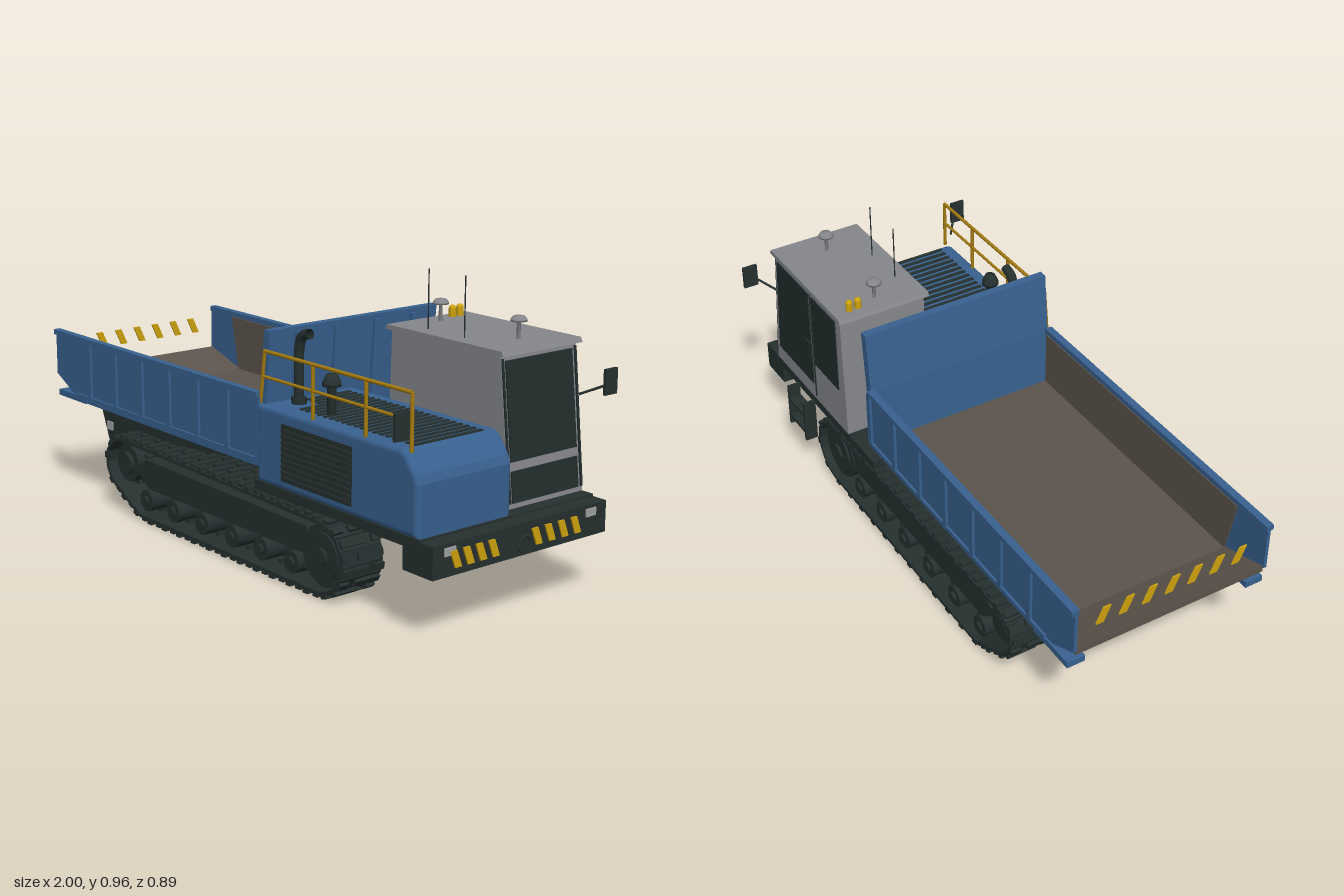
import * as THREE from 'three';
import { mergeGeometries } from 'three/addons/utils/BufferGeometryUtils.js';

const material = (name, color) => {
  const m = new THREE.MeshStandardMaterial({ color });
  m.name = name;
  return m;
};

export function createModel() {
  const blue = material('blue paint', 0x38618f);
  const dark = material('dark steel', 0x25302f);
  const glass = material('tinted glass', 0x222d2c);
  const grey = material('cab grey', 0x86878b);
  const brown = material('bed liner', 0x5c544c);
  const yellow = material('safety yellow', 0xd0a30e);
  const rail = material('handrail yellow', 0xa67c10);
  const lamp = material('lamp grey', 0xa0a2a2);

  const model = new THREE.Group();
  model.name = 'trackedDumper';
  const group = (name) => {
    const g = new THREE.Group();
    g.name = name;
    model.add(g);
    return g;
  };
  const add = (parent, name, geo, mat) => {
    const m = new THREE.Mesh(geo, mat);
    m.name = name;
    parent.add(m);
    return m;
  };
  const boxGeo = (x0, x1, y0, y1, z0, z1) =>
    new THREE.BoxGeometry(x1 - x0, y1 - y0, z1 - z0).translate((x0 + x1) / 2, (y0 + y1) / 2, (z0 + z1) / 2);
  const box = (p, name, mat, ...b) => add(p, name, boxGeo(...b), mat);
  // Side profile in x and y, extruded from z0 to z1, with optional rounded edges
  const prism = (p, name, mat, pts, z0, z1, bevel = 0) => {
    const shape = new THREE.Shape(pts.map(([x, y]) => new THREE.Vector2(x, y)));
    const geo = new THREE.ExtrudeGeometry(shape, {
      depth: z1 - z0 - 2 * bevel, bevelEnabled: bevel > 0, bevelSize: bevel,
      bevelThickness: bevel, bevelOffset: -bevel, bevelSegments: 4,
    });
    return add(p, name, geo.translate(0, 0, z0 + bevel), mat);
  };
  const rod = (p, name, mat, a, b, r) => {
    const from = new THREE.Vector3(...a), to = new THREE.Vector3(...b);
    const m = add(p, name, new THREE.CylinderGeometry(r, r, from.distanceTo(to), 10), mat);
    m.position.copy(from).lerp(to, 0.5);
    m.quaternion.setFromUnitVectors(new THREE.Vector3(0, 1, 0), to.sub(from).normalize());
    return m;
  };
  const wheel = (p, name, x, y, z, r, w, sides = 28) =>
    add(p, name, new THREE.CylinderGeometry(r, r, w, sides).rotateX(Math.PI / 2).translate(x, y, z), dark);

  // Crawler tracks: belt path is the hull of three circles
  const circles = [[0.49, 0.129, 0.112], [-0.585, 0.175, 0.088], [-0.46, 0.07, 0.053]];
  const outline = [];
  for (let i = 0; i <= 180; i++) {
    const a = (i / 180) * Math.PI * 2, c = Math.cos(a), s = Math.sin(a);
    const reach = ([x, y, r]) => x * c + y * s + r;
    const [x, y, r] = circles.reduce((m, k) => (reach(k) > reach(m) ? k : m));
    outline.push(new THREE.Vector2(x + r * c, y + r * s));
  }
  const links = 66;
  const path = new THREE.Shape(outline).getSpacedPoints(links);
  for (const side of [1, -1]) {
    const track = group(side > 0 ? 'leftTrack' : 'rightTrack');
    const zc = 0.271 * side;
    const parts = [];
    for (let i = 0; i < links; i++) {
      const a = path[i], b = path[(i + 1) % links];
      const lugs = i % 2 ? [[-0.08, -0.045], [-0.02, 0.075]] : [[-0.075, 0.02], [0.045, 0.08]];
      const shoe = [boxGeo(-0.021, 0.021, -0.006, 0.006, -0.08, 0.08)];
      for (const [l0, l1] of lugs) shoe.push(boxGeo(-0.011, 0.011, -0.017, -0.005, l0, l1));
      if (i % 2) shoe.push(boxGeo(-0.008, 0.008, 0.005, 0.02, -0.012, 0.012));
      for (const g of shoe) {
        parts.push(g.rotateZ(Math.atan2(b.y - a.y, b.x - a.x)).translate((a.x + b.x) / 2, (a.y + b.y) / 2, zc));
      }
    }
    add(track, 'trackBelt', mergeGeometries(parts), dark);
    // Idler, sprocket and road rollers
    wheel(track, 'frontWheel', 0.49, 0.129, zc, 0.098, 0.11);
    wheel(track, 'frontWheelRim', 0.49, 0.129, zc, 0.075, 0.125);
    wheel(track, 'frontHub', 0.49, 0.129, zc, 0.03, 0.145, 16);
    wheel(track, 'sprocket', -0.585, 0.175, zc, 0.066, 0.1);
    wheel(track, 'sprocketHub', -0.585, 0.175, zc, 0.04, 0.13, 16);
    for (let i = 0; i < 14; i++) {
      const a = (i / 14) * Math.PI * 2;
      add(track, 'sprocketTooth', boxGeo(0.06, 0.08, -0.007, 0.007, -0.02, 0.02)
        .rotateZ(a).translate(-0.585, 0.175, zc), dark);
    }
    for (const x of [-0.46, -0.3, -0.135, 0.03, 0.185, 0.34]) {
      wheel(track, 'roadRoller', x, 0.07, zc, 0.037, 0.12, 20);
      wheel(track, 'rollerCap', x, 0.07, zc, 0.018, 0.14, 12);
    }
    prism(track, 'trackFrame', dark, [[-0.54, 0.17], [-0.46, 0.11], [0.38, 0.11], [0.43, 0.14],
      [0.4, 0.2], [-0.47, 0.21]], zc - 0.05, zc + 0.05);
    const zi = 0.173 * side;
    box(track, 'trackMount', dark, -0.48, 0.4, 0.115, 0.21, zi - 0.019, zi + 0.019);
  }

  // Chassis, deck and front bumper
  const chassis = group('chassis');
  box(chassis, 'mainFrame', dark, -0.55, 0.94, 0.2, 0.28, -0.155, 0.155);
  box(chassis, 'deck', dark, 0.18, 0.94, 0.27, 0.302, -0.355, 0.35);
  prism(chassis, 'bedFrame', dark, [[-0.84, 0.345], [-0.78, 0.2], [-0.66, 0.2], [-0.5, 0.265],
    [0.17, 0.325], [0.19, 0.345]], -0.27, 0.27);
  box(chassis, 'bumper', dark, 0.87, 0.995, 0.198, 0.296, -0.352, 0.348);
  for (const z of [0.25, -0.25]) box(chassis, 'tailLamp', lamp, -0.79, -0.755, 0.245, 0.275, z - 0.025, z + 0.025);
  for (const z of [0.285, -0.285]) box(chassis, 'frontLamp', lamp, 0.99, 0.999, 0.26, 0.285, z - 0.021, z + 0.021);
  const hook = add(chassis, 'towHook', new THREE.TorusGeometry(0.024, 0.006, 8, 20, Math.PI * 1.3), dark);
  hook.rotation.set(0, Math.PI / 2, 0);
  hook.position.set(0.994, 0.23, -0.012);
  rod(chassis, 'towPin', blue, [0.9, 0.195, 0], [0.96, 0.195, 0], 0.016);

  // Slanted hazard stripe on a face across x
  const stripe = (p, x, z, y0, y1, lean, w) => {
    const s = new THREE.Shape([[z, y0], [z + w, y0], [z + w + lean, y1], [z + lean, y1]].map((q) => new THREE.Vector2(...q)));
    const geo = new THREE.ExtrudeGeometry(s, { depth: 0.005, bevelEnabled: false });
    add(p, 'hazardStripe', geo.rotateY(-Math.PI / 2).translate(x, 0, 0), yellow);
  };
  for (let i = 0; i < 4; i++) {
    stripe(chassis, 1, 0.093 + i * 0.049, 0.22, 0.273, 0.02, 0.026);
    stripe(chassis, 1, -0.243 + i * 0.054, 0.22, 0.273, 0.02, 0.026);
  }

  // Dump bed
  const bed = group('dumpBed');
  const wall = [[-1, 0.58], [-1, 0.42], [-0.9, 0.37], [-0.8, 0.345], [0.195, 0.345], [0.2, 0.58]];
  for (const s of [1, -1]) {
    const span = (a, b) => (s > 0 ? [a, b] : [-b, -a]);
    prism(bed, 'sideWall', blue, wall, ...span(0.334, 0.345));
    box(bed, 'topRail', blue, -1, 0.2, 0.564, 0.582, ...span(0.33, 0.355));
    box(bed, 'bottomRail', blue, -0.86, 0.19, 0.358, 0.374, ...span(0.335, 0.353));
    box(bed, 'tailBar', blue, -0.98, -0.8, 0.345, 0.366, ...span(0.29, 0.352));
    for (let i = 0; i < 7; i++) {
      const x = -0.772 + i * 0.162;
      box(bed, 'sideRib', blue, x - 0.01, x + 0.01, 0.36, 0.57, ...span(0.34, 0.354));
    }
    prism(bed, 'sideLiner', brown, [[-0.82, 0.37], [0.19, 0.37], [0.19, 0.562], [-0.86, 0.562]], ...span(0.328, 0.335));
  }
  prism(bed, 'floor', brown, [[-0.997, 0.405], [-0.82, 0.345], [0.195, 0.345], [0.195, 0.37],
    [-0.82, 0.37], [-0.997, 0.425]], -0.334, 0.334);
  prism(bed, 'headboard', blue, [[0.19, 0.35], [0.212, 0.35], [0.25, 0.78], [0.222, 0.78], [0.2, 0.57]], -0.34, 0.34);
  for (const z of [0.235, 0.08, -0.08, -0.235]) {
    prism(bed, 'headboardRib', blue, [[0.215, 0.36], [0.232, 0.36], [0.26, 0.765], [0.24, 0.765]], z - 0.009, z + 0.009);
  }
  for (let i = 0; i < 7; i++) stripe(bed, -0.993, -0.27 + i * 0.08, 0.49, 0.545, 0.025, 0.026);

  // Engine hood with side grille and top slots
  const engine = group('engineHood');
  prism(engine, 'hood', blue, [[0.2, 0.302], [0.935, 0.302], [0.935, 0.46], [0.926, 0.487], [0.885, 0.54],
    [0.865, 0.55], [0.2, 0.55]], -0.012, 0.355, 0.016);
  box(engine, 'grille', dark, 0.325, 0.655, 0.33, 0.51, 0.35, 0.357);
  for (let i = 0; i < 9; i++) {
    const y = 0.338 + i * 0.0185;
    prism(engine, 'grilleSlat', dark, [[0.33, y], [0.65, y], [0.65, y + 0.009], [0.33, y + 0.009]], 0.355, 0.363);
  }
  for (let i = 0; i < 22; i++) {
    const x = 0.265 + i * 0.028;
    box(engine, 'topSlot', dark, x, x + 0.013, 0.548, 0.554, 0.04, i < 3 ? 0.22 : 0.305);
  }
  // Exhaust pipe and air intake
  const bend = new THREE.CatmullRomCurve3([[0.287, 0.55], [0.287, 0.65], [0.288, 0.72], [0.303, 0.762], [0.34, 0.775]]
    .map(([x, y]) => new THREE.Vector3(x, y, 0.257)));
  add(engine, 'exhaustPipe', new THREE.TubeGeometry(bend, 24, 0.016, 14), dark).material.side = THREE.DoubleSide;
  rod(engine, 'exhaustCollar', dark, [0.287, 0.55, 0.257], [0.287, 0.57, 0.257], 0.024);
  add(engine, 'airIntake', new THREE.LatheGeometry([[0, 0.55], [0.014, 0.55], [0.014, 0.638], [0.029, 0.64],
    [0.029, 0.65], [0.018, 0.675], [0, 0.676]].map((q) => new THREE.Vector2(...q)), 18).translate(0.46, 0, 0.27), dark);

  // Handrail
  const rails = group('handrail');
  const zr = 0.342;
  rod(rails, 'topBar', rail, [0.226, 0.715, zr], [0.895, 0.715, zr], 0.006);
  rod(rails, 'middleBar', rail, [0.215, 0.635, zr], [0.895, 0.635, zr], 0.005);
  for (const [x0, x1] of [[0.205, 0.228], [0.46, 0.46], [0.7, 0.7], [0.895, 0.895]]) {
    rod(rails, 'post', rail, [x0, 0.545, zr], [x1, 0.715, zr], 0.006);
  }

  // Cab with tilted windscreen
  const cab = group('cab');
  const frontX = (y) => 0.895 - 0.11 * (y - 0.3);
  prism(cab, 'cabBody', grey, [[0.358, 0.302], [0.895, 0.302], [0.845, 0.757], [0.372, 0.757]], -0.355, -0.042);
  const pane = (name, y0, y1, z0, z1) => prism(cab, name, glass, [[frontX(y0) - 0.002, y0], [frontX(y0) + 0.005, y0],
    [frontX(y1) + 0.005, y1], [frontX(y1) - 0.002, y1]], z0, z1);
  pane('windscreen', 0.44, 0.738, -0.336, -0.058);
  pane('lowerWindow', 0.318, 0.412, -0.336, -0.058);
  pane('windowSeal', 0.318, 0.745, -0.354, -0.346);
  pane('windowSeal', 0.318, 0.745, -0.051, -0.044);
  prism(cab, 'doorWindow', glass, [[0.6, 0.365], [0.865, 0.365], [0.832, 0.735], [0.6, 0.735]], -0.359, -0.354);
  box(cab, 'rearSideWindow', glass, 0.405, 0.575, 0.46, 0.735, -0.359, -0.354);
  box(cab, 'doorSeam', dark, 0.584, 0.59, 0.32, 0.745, -0.358, -0.354);
  box(cab, 'doorHandle', dark, 0.605, 0.64, 0.53, 0.537, -0.364, -0.355);
  prism(cab, 'roof', grey, [[0.35, 0.755], [0.865, 0.755], [0.858, 0.77], [0.357, 0.77]], -0.365, -0.033);
  for (const x of [0.49, 0.65]) rod(cab, 'antenna', dark, [x, 0.768, -0.084], [x, 0.957, -0.084], 0.002);
  for (const x of [0.42, 0.76]) {
    add(cab, 'receiver', new THREE.LatheGeometry([[0, 0.768], [0.006, 0.768], [0.006, 0.822], [0.026, 0.824],
      [0.025, 0.83], [0.018, 0.839], [0, 0.84]].map((q) => new THREE.Vector2(...q)), 18).translate(x, 0, -0.2), grey);
  }
  for (const z of [-0.274, -0.306]) {
    add(cab, 'beacon', new THREE.CapsuleGeometry(0.012, 0.03, 6, 14).translate(0.395, 0.781, z), yellow);
  }

  // Mirrors on both sides
  for (const s of [1, -1]) {
    const mirror = group(s > 0 ? 'leftMirror' : 'rightMirror');
    rod(mirror, 'mirrorArm', dark, [0.87, 0.598, 0.352 * s], [0.936, 0.632, 0.405 * s], 0.004);
    box(mirror, 'mirrorHead', dark, 0.93, 0.94, 0.6, 0.68, 0.417 * s - 0.026, 0.417 * s + 0.026);
  }

  // Cab access ladder
  const ladder = group('ladder');
  for (const x of [0.612, 0.732]) box(ladder, 'ladderSide', dark, x - 0.005, x + 0.005, 0.125, 0.285, -0.4, -0.355);
  for (const y of [0.155, 0.225]) box(ladder, 'step', dark, 0.612, 0.732, y, y + 0.012, -0.4, -0.355);
  return model;
}
